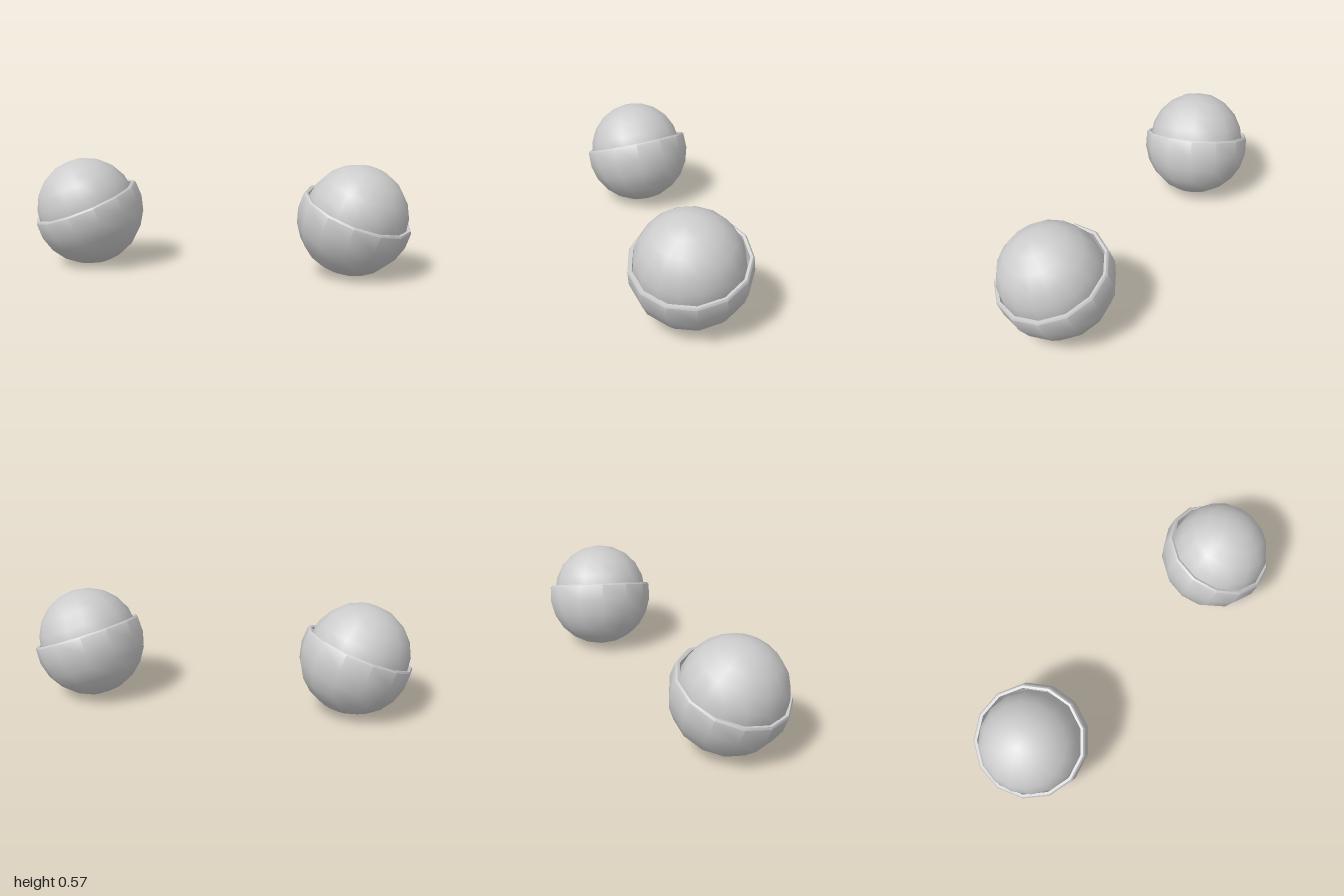
import * as THREE from 'three';
import { toCreasedNormals } from 'three/addons/utils/BufferGeometryUtils.js';

const material = new THREE.MeshStandardMaterial({ color: 0xcccccc });
const CUP_RADIUS = 0.293;
const RIM_ANGLE = 0.16;

// Thin bowl with a rounded lip, turned about its own axis
function cupGeometry() {
  const points = [];
  const rings = 6;
  for (let i = 0; i <= rings; i++) {
    const a = -Math.PI / 2 + (Math.PI / 2 + RIM_ANGLE) * (i / rings);
    points.push(new THREE.Vector2(Math.max(0, CUP_RADIUS * Math.cos(a)), CUP_RADIUS * Math.sin(a)));
  }
  // Lip, then the inner wall running down behind the ball
  for (const [r, h] of [[0.281, 0.056], [0.268, 0.053], [0.267, 0], [0.254, -0.08], [0.2, -0.18]]) {
    points.push(new THREE.Vector2(r, h));
  }
  return toCreasedNormals(new THREE.LatheGeometry(points, 13), 0.8);
}

// One ball resting in its tilted cup; side is +1 or -1
function createEye(side, cupShape, ballShape) {
  const eye = new THREE.Group();
  eye.name = side > 0 ? 'leftEye' : 'rightEye';
  eye.position.set(0.71 * side, 0.29, 0);

  // The opening leans outward and a little forward
  const axis = new THREE.Vector3(0.36 * side, 1, 0.15).normalize();
  const tilt = new THREE.Quaternion().setFromUnitVectors(new THREE.Vector3(0, 1, 0), axis);

  const cup = new THREE.Mesh(cupShape, material);
  cup.name = 'eyelid';
  cup.quaternion.copy(tilt);

  const ball = new THREE.Mesh(ballShape, material);
  ball.name = 'eyeball';
  ball.quaternion.copy(tilt);
  ball.position.set(0.01 * side, 0.018, 0.008);

  eye.add(cup, ball);
  return eye;
}

export function createModel() {
  const model = new THREE.Group();
  model.name = 'eyes';
  const cupShape = cupGeometry();
  const ballShape = new THREE.SphereGeometry(0.263, 16, 10);
  for (const side of [1, -1]) model.add(createEye(side, cupShape, ballShape));
  return model;
}
